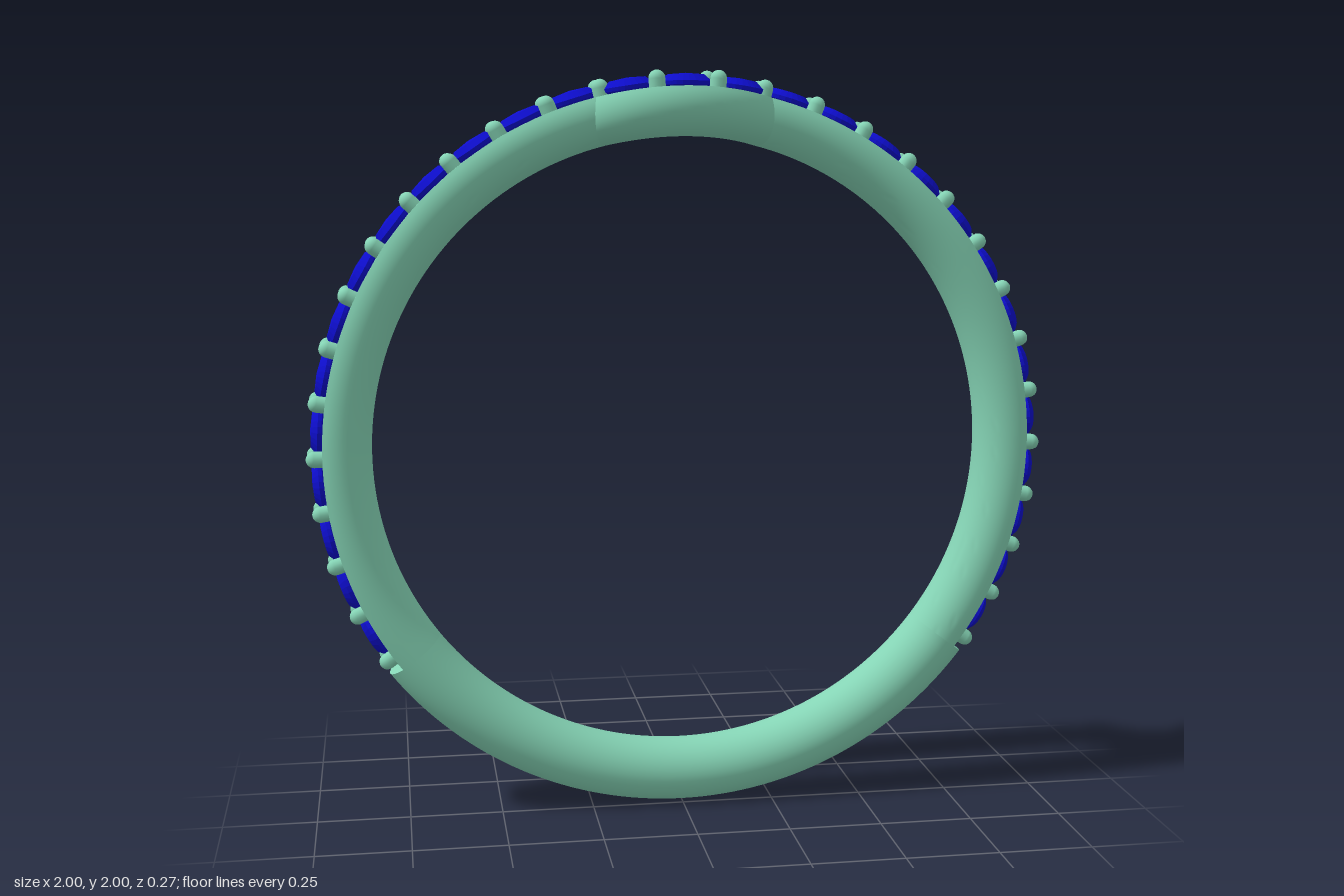
import * as THREE from 'three';
import { toCreasedNormals } from 'three/addons/utils/BufferGeometryUtils.js';

const R = 0.914;              // radius of the band's centre line
const HALF_W = 0.088, HALF_T = 0.086;
const Z0 = -0.047;            // centre plane of the band
const BEND = 0.267, BEND_Z = -0.224; // forward arc at the crown
const STEP = THREE.MathUtils.degToRad(8.62); // angle between stones
const END = THREE.MathUtils.degToRad(127.2); // where the stone row stops

// x of the mitre between crown arc and straight band, for lateral offset u
const mitre = (u) => Math.sqrt(BEND ** 2 - (Z0 - BEND_Z) ** 2 + 2 * u * (BEND - (Z0 - BEND_Z)));

// Point at angle a from the top, lateral offset u, ring radius r
function ringPoint(a, u, r) {
  const x = r * Math.sin(a);
  let z = Z0 + u;
  if (Math.cos(a) > 0 && Math.abs(x) < mitre(u)) z = BEND_Z + Math.sqrt((BEND + u) ** 2 - x * x);
  return new THREE.Vector3(x, 1 + r * Math.cos(a), z);
}

// Oval section; flatV trims the outer side to a flat seat
function section(flatV) {
  const b = flatV < HALF_T ? Math.asin(flatV / HALF_T) : Math.PI / 2 - 0.08;
  const n = 32, pts = [];
  for (let i = 0; i <= n; i++) {
    const t = b - (i / n) * (Math.PI + 2 * b);
    pts.push([HALF_W * Math.cos(t), HALF_T * Math.sin(t)]);
  }
  return pts;
}

// Sweep a section round the ring; range(u, r) gives start and end angles
function sweep(pts, n, range, capped) {
  const pos = [], idx = [], m = pts.length;
  for (let i = 0; i <= n; i++) {
    for (const [u, v] of pts) {
      const [a0, a1] = range(u, R + v);
      pos.push(...ringPoint(a0 + (a1 - a0) * (i / n), u, R + v).toArray());
    }
  }
  for (let i = 0; i < n; i++) {
    for (let j = 0; j < m; j++) {
      const k = (j + 1) % m, a = i * m + j, b = i * m + k;
      idx.push(a, b, a + m, b, b + m, a + m);
    }
  }
  if (capped) {
    for (let j = 1; j < m - 1; j++) {
      idx.push(0, j + 1, j, n * m, n * m + j, n * m + j + 1);
    }
  }
  const g = new THREE.BufferGeometry();
  g.setAttribute('position', new THREE.Float32BufferAttribute(pos, 3));
  g.setIndex(idx);
  return toCreasedNormals(g, 0.5);
}

export function createModel() {
  const model = new THREE.Group();
  model.name = 'ring';
  const metal = new THREE.MeshStandardMaterial({ color: 0x85d4b5 });
  const gem = new THREE.MeshStandardMaterial({ color: 0x0d0dcc, flatShading: true });
  const add = (name, geo, mat, parent = model) => {
    const mesh = new THREE.Mesh(geo, mat);
    mesh.name = name;
    parent.add(mesh);
    return mesh;
  };

  // Plain rounded shank at the bottom
  add('shank', sweep(section(HALF_T), 64, () => [END, 2 * Math.PI - END], true), metal);

  // Flat-topped side bands and the crown that bows forward
  const seat = section(0.042);
  const split = (u, r) => Math.asin(mitre(u) / r);
  add('leftBand', sweep(seat, 64, (u, r) => [split(u, r) + 1e-6, END]), metal);
  add('rightBand', sweep(seat, 64, (u, r) => [-END, -split(u, r) - 1e-6]), metal);
  add('crown', sweep(seat, 32, (u, r) => [-split(u, r), split(u, r)]), metal);

  // Place an object on the row, standing along the radius
  const place = (mesh, a, u, r) => {
    const x = r * Math.sin(a), s = x / mitre(0);
    const fan = Math.cos(a) > 0 && Math.abs(s) < 1;
    const angle = fan ? Math.asin((s * mitre(u)) / r) : a;
    mesh.position.copy(ringPoint(angle, u, r));
    mesh.rotation.z = -a;
  };

  // Round cut stones
  const stoneGeo = new THREE.LatheGeometry(
    [[0, -0.05], [0.066, -0.006], [0.068, 0.004], [0.048, 0.021], [0, 0.025]]
      .map(([x, y]) => new THREE.Vector2(x, y)), 24);
  const stones = new THREE.Group();
  stones.name = 'stones';
  model.add(stones);
  for (let k = -14; k <= 14; k++) place(add('stone', stoneGeo, gem, stones), k * STEP, 0, 0.965);

  // Pairs of round-tipped prongs between the stones
  const prongGeo = new THREE.CapsuleGeometry(0.022, 0.04, 6, 12);
  prongGeo.translate(0, -0.02, 0);
  const prongs = new THREE.Group();
  prongs.name = 'prongs';
  model.add(prongs);
  for (let k = -14.5; k <= 14.5; k++) {
    for (const u of [-0.045, 0.045]) place(add('prong', prongGeo, metal, prongs), k * STEP, u, 0.978);
  }
  return model;
}
